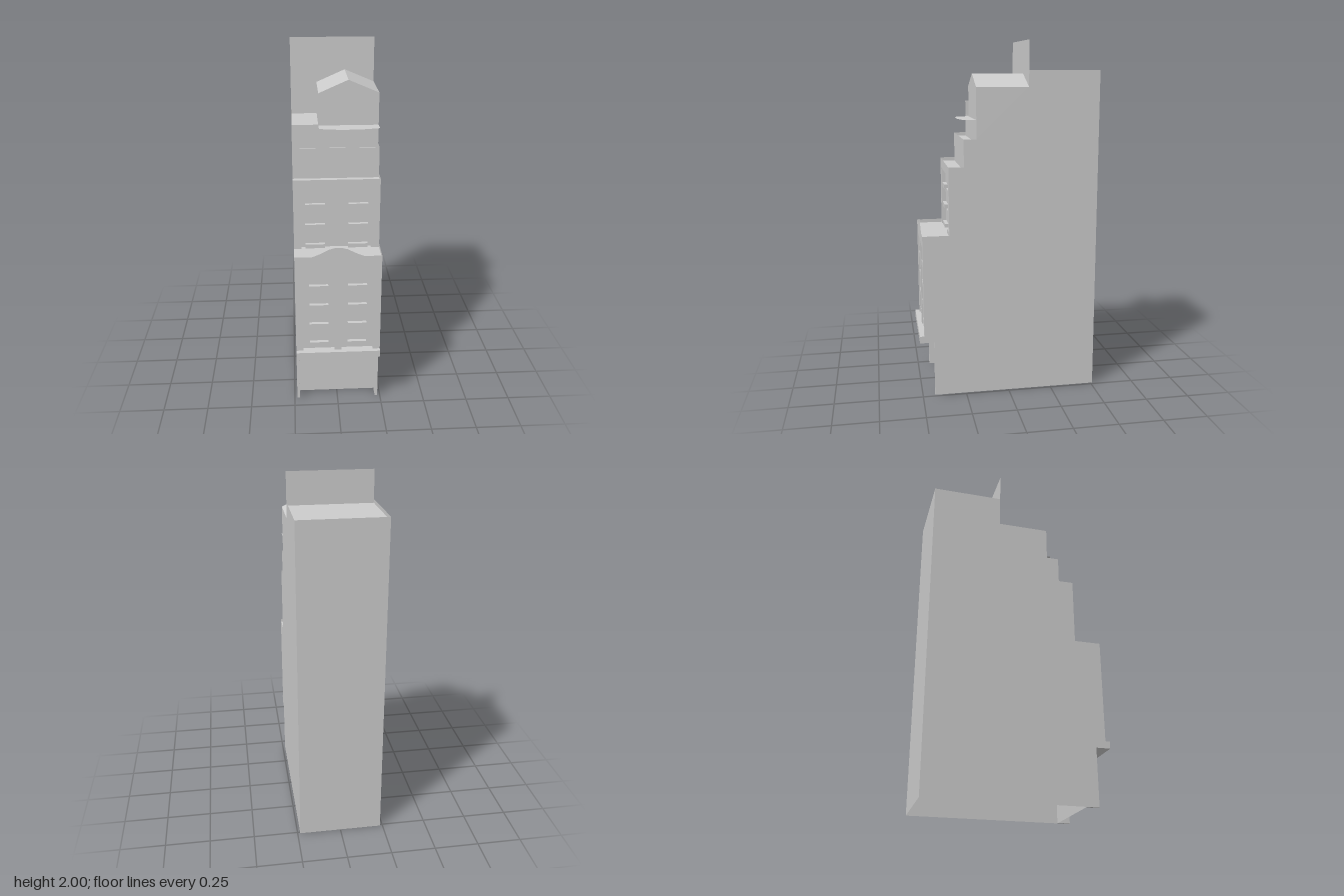
import * as THREE from 'three';

const W = 0.235; // half width of the building
const mat = new THREE.MeshStandardMaterial({ color: 0xcccccc, flatShading: true, side: THREE.DoubleSide });

const polygon = (pts) => new THREE.Shape(pts.map(([a, b]) => new THREE.Vector2(a, b)));
const rect = (x0, y0, x1, y1) => [[x0, y0], [x1, y0], [x1, y1], [x0, y1]];

export function createModel() {
  const model = new THREE.Group();

  const add = (name, geometry) => {
    const mesh = new THREE.Mesh(geometry, mat);
    mesh.name = name;
    model.add(mesh);
    return mesh;
  };
  const box = (name, x0, x1, y0, y1, z0, z1) =>
    add(name, new THREE.BoxGeometry(x1 - x0, y1 - y0, z1 - z0))
      .position.set((x0 + x1) / 2, (y0 + y1) / 2, (z0 + z1) / 2);
  // upright sheet facing +z
  const sheet = (name, pts, z) => add(name, new THREE.ShapeGeometry(polygon(pts)).translate(0, 0, z));
  // level sheet facing up, points given as x, z
  const floor = (name, pts, y) =>
    add(name, new THREE.ShapeGeometry(polygon(pts.map(([x, z]) => [x, -z])))
      .rotateX(-Math.PI / 2).translate(0, y, 0));
  // wall with openings, a recessed panel behind them
  const facade = (name, y0, y1, z, openings) => {
    const depth = 0.025;
    const shape = polygon(rect(-W, y0, W, y1));
    openings.forEach((o) => shape.holes.push(new THREE.Path(polygon(rect(...o)).getPoints())));
    add(name, new THREE.ExtrudeGeometry(shape, { depth, bevelEnabled: false }).translate(0, 0, z - depth));
    sheet(name + 'Panel', rect(-W, y0, W, y1), z - depth);
  };

  // stepped side walls
  [['leftWall', W, 1.75], ['rightWall', -W, 1.66]].forEach(([name, x, top]) => {
    const profile = [
      [-0.51, 0], [0.43, 0], [0.43, 0.32], [0.485, 0.32], [0.485, 0.94], [0.335, 0.94],
      [0.335, 1.32], [0.25, 1.32], [0.25, 1.47], [0.18, 1.47], [0.18, top === 1.75 ? 1.75 : 1.58],
      [0.18, top], [-0.11, top], [-0.11, 1.84], [-0.51, 1.84],
    ];
    add(name, new THREE.ShapeGeometry(polygon(profile)).rotateY(-Math.PI / 2).translate(x, 0, 0));
  });

  // back wall and tall party wall
  sheet('backWall', rect(-W, 0, W, 1.84), -0.51);
  sheet('partyWall', rect(-W, 1.56, W, 2), -0.11);
  floor('mainRoof', rect(-W, -0.51, W, -0.11), 1.82);

  // ground floor: set-back front between piers, under a ledge
  sheet('groundFront', rect(-W, 0, W, 0.33), 0.36);
  for (const s of [-1, 1]) {
    const x = s * (W - 0.0075);
    box('pier', x - 0.0075, x + 0.0075, 0, 0.32, 0.36, 0.43);
  }
  box('ledge', -W, W, 0.32, 0.36, 0.36, 0.51);

  // lower facade with two bays and a curved parapet
  facade('lowerFacade', 0.34, 0.9, 0.485, [[-0.195, 0.36, -0.02, 0.87], [0.02, 0.36, 0.195, 0.87]]);
  sheet('curvedParapet', [
    [-W, 0.9], [W, 0.9], [W, 0.94], [0.14, 0.94], [0.1, 0.956], [0.05, 0.982], [0.02, 0.99],
    [-0.02, 0.99], [-0.05, 0.982], [-0.1, 0.956], [-0.14, 0.94], [-W, 0.94],
  ], 0.485);
  floor('lowerTerrace', rect(-W, 0.3, W, 0.485), 0.92);

  // upper facade with one wide bay
  facade('upperFacade', 0.9, 1.3, 0.335, [[-0.195, 0.92, 0.19, 1.265]]);
  sheet('upperParapet', rect(-W, 1.3, W, 1.32), 0.335);
  floor('upperTerrace', rect(-W, 0.25, W, 0.335), 1.3);

  // window bars
  for (const s of [-1, 1]) {
    for (let i = 0; i < 4; i++) {
      const y = 0.395 + i * 0.118;
      const x = s * 0.106;
      box('lowerBar', x - 0.052, x + 0.052, y - 0.014, y + 0.014, 0.455, 0.481);
    }
    for (let i = 0; i < 3; i++) {
      const y = 0.93 + i * 0.118;
      const x = s * 0.118;
      box('upperBar', x - 0.054, x + 0.054, y - 0.013, y + 0.013, 0.305, 0.331);
    }
  }

  // set-back attic storey
  sheet('atticFront', rect(-W, 1.29, W, 1.47), 0.25);
  floor('atticTerrace', rect(-W, 0.18, W, 0.25), 1.45);
  sheet('topFront', rect(-W, 1.44, -0.09, 1.58), 0.18);
  floor('topTerrace', rect(-W, -0.11, -0.09, 0.18), 1.57);

  // gabled roof house and its bowed balcony slab
  const gable = polygon([[-0.09, 1.44], [W, 1.44], [W, 1.75], [0.07, 1.82], [-0.09, 1.75]]);
  add('gableHouse', new THREE.ExtrudeGeometry(gable, { depth: 0.29, bevelEnabled: false }).translate(0, 0, -0.11));
  floor('balcony', [[-0.09, 0.18], [-0.09, 0.25], [0.02, 0.272], [0.125, 0.272], [W, 0.25], [W, 0.18]], 1.575);

  return model;
}
